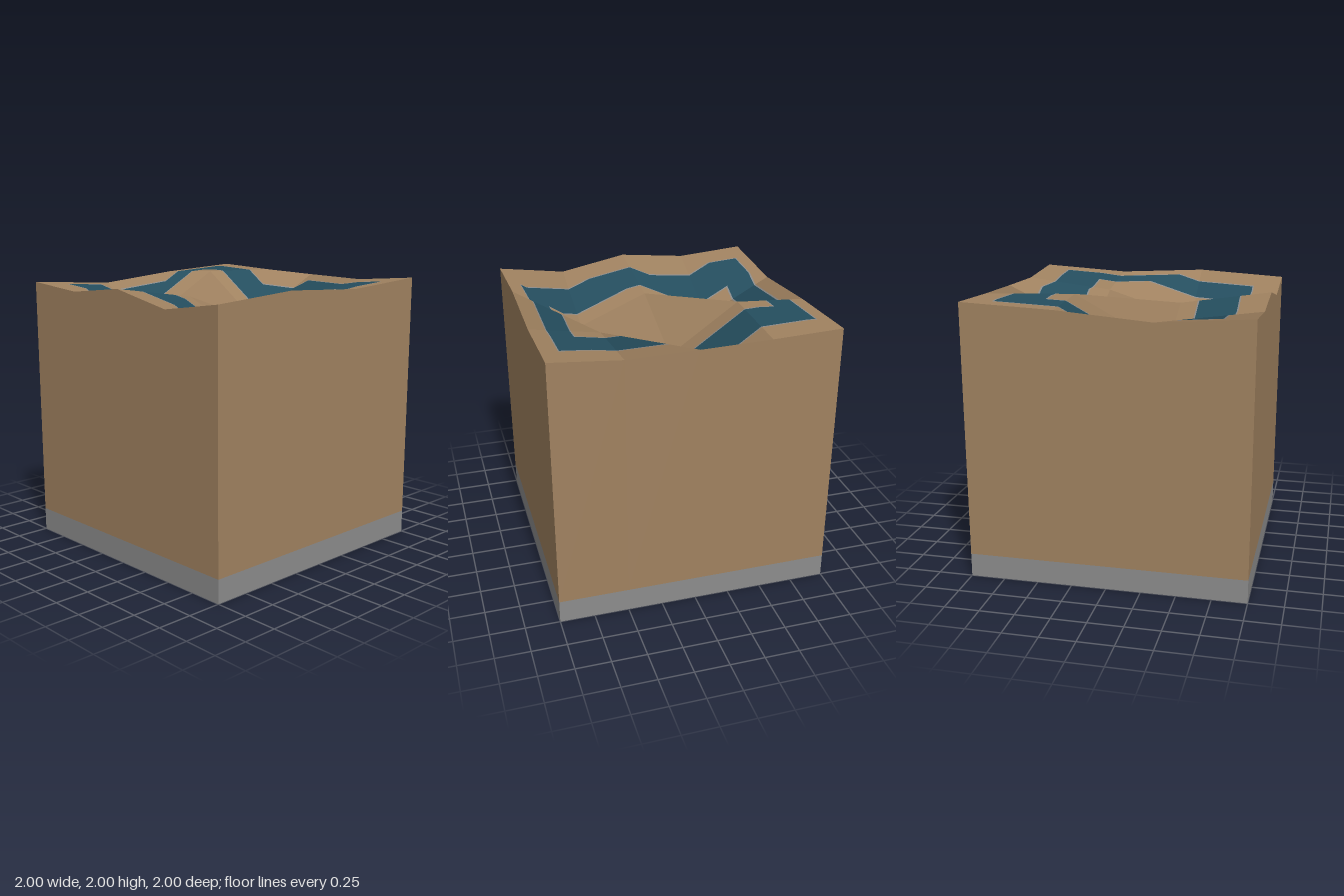
import * as THREE from 'three';

const mat = (name, color) => {
  const m = new THREE.MeshStandardMaterial({ color });
  m.name = name;
  return m;
};

// Corner heights of the land: rows run back to front, columns left to right
const XS = [-1, -0.5, 0, 0.5, 1];
const ZS = [-1, -1 / 3, 1 / 3, 1];
const HEIGHTS = [
  [2.0, 1.98, 1.967, 1.957, 2.0],
  [1.97, 2.0, 1.65, 1.88, 1.96],
  [1.915, 1.64, 1.88, 1.67, 1.995],
  [1.963, 1.925, 1.98, 1.883, 1.955],
];
const BASE = 0.17;

// Nested rectangles of the water ring: x0, x1, z0, z1 and the colour inside
const RINGS = [
  { box: [-0.905, 0.882, -0.797, 0.783], colour: 'stone' },
  { box: [-0.895, 0.874, -0.785, 0.772], colour: 'water' },
  { box: [-0.722, 0.715, -0.478, 0.474], colour: 'stone' },
  { box: [-0.711, 0.706, -0.467, 0.463], colour: 'earth' },
];

const point = (i, j) => new THREE.Vector3(XS[i], HEIGHTS[j][i], ZS[j]);

// Keep the part of a convex polygon where sign * (p[axis] - limit) >= 0
function clip(poly, axis, limit, sign) {
  const out = [];
  poly.forEach((p, i) => {
    const q = poly[(i + 1) % poly.length];
    const a = sign * (p[axis] - limit);
    const b = sign * (q[axis] - limit);
    if (a >= 0) out.push(p);
    if (a * b < 0) out.push(p.clone().lerp(q, a / (a - b)));
  });
  return out;
}

// Gathers convex polygons into one geometry
class Surface {
  constructor() {
    this.pos = [];
    this.nor = [];
  }
  add(poly, normal) {
    for (let i = 1; i < poly.length - 1; i++) {
      for (const p of [poly[0], poly[i], poly[i + 1]]) {
        this.pos.push(p.x, p.y, p.z);
        this.nor.push(normal.x, normal.y, normal.z);
      }
    }
  }
  mesh(name, material) {
    const g = new THREE.BufferGeometry();
    g.setAttribute('position', new THREE.Float32BufferAttribute(this.pos, 3));
    g.setAttribute('normal', new THREE.Float32BufferAttribute(this.nor, 3));
    const m = new THREE.Mesh(g, material);
    m.name = name;
    return m;
  }
}

export function createModel() {
  const group = new THREE.Group();
  group.name = 'terrainBlock';
  const materials = {
    earth: mat('earth', 0xa08260),
    water: mat('water', 0x254e5f),
    stone: mat('stone', 0x8c8c8c),
  };

  // Stone slab under the earth
  const slab = new THREE.Mesh(new THREE.BoxGeometry(2, BASE, 2), materials.stone);
  slab.name = 'baseSlab';
  slab.position.y = BASE / 2;
  group.add(slab);

  // Earth walls, walked around the rim
  const rim = [];
  for (let i = 0; i < 4; i++) rim.push([i, 3]);
  for (let j = 3; j > 0; j--) rim.push([4, j]);
  for (let i = 4; i > 0; i--) rim.push([i, 0]);
  for (let j = 0; j < 3; j++) rim.push([0, j]);
  const walls = new Surface();
  rim.forEach((c, k) => {
    const p = point(...c);
    const q = point(...rim[(k + 1) % rim.length]);
    const p0 = p.clone().setY(BASE);
    const q0 = q.clone().setY(BASE);
    const out = new THREE.Vector3(p.z - q.z, 0, q.x - p.x).normalize();
    out.set(-(q.z - p.z), 0, q.x - p.x).normalize();
    walls.add([p0, q0, q, p], out);
  });
  group.add(walls.mesh('earthWalls', materials.earth));

  // Land surface, cut along the outlines of the water ring
  const land = { earth: new Surface(), water: new Surface(), stone: new Surface() };
  const cuts = (k) => [-1, 1, ...RINGS.flatMap((r) => r.box.slice(k, k + 2))].sort((a, b) => a - b);
  const xCuts = cuts(0);
  const zCuts = cuts(2);

  function colourAt(x, z) {
    let colour = 'earth';
    for (const { box, colour: inside } of RINGS) {
      if (x > box[0] && x < box[1] && z > box[2] && z < box[3]) colour = inside;
    }
    return colour;
  }

  function addPatch(triangle, normal) {
    for (let i = 0; i < xCuts.length - 1; i++) {
      const strip = clip(clip(triangle, 'x', xCuts[i], 1), 'x', xCuts[i + 1], -1);
      if (strip.length < 3) continue;
      for (let j = 0; j < zCuts.length - 1; j++) {
        const piece = clip(clip(strip, 'z', zCuts[j], 1), 'z', zCuts[j + 1], -1);
        if (piece.length < 3) continue;
        const colour = colourAt((xCuts[i] + xCuts[i + 1]) / 2, (zCuts[j] + zCuts[j + 1]) / 2);
        land[colour].add(piece, normal);
      }
    }
  }

  for (let j = 0; j < 3; j++) {
    for (let i = 0; i < 4; i++) {
      const a = point(i, j);
      const b = point(i, j + 1);
      const c = point(i + 1, j + 1);
      const d = point(i + 1, j);
      // One flat shade for each cell
      const normal = c.clone().sub(a).cross(d.clone().sub(b)).normalize();
      addPatch([a, b, c], normal);
      addPatch([a, c, d], normal);
    }
  }
  group.add(land.earth.mesh('landSurface', materials.earth));
  group.add(land.water.mesh('waterRing', materials.water));
  group.add(land.stone.mesh('shoreline', materials.stone));

  return group;
}
